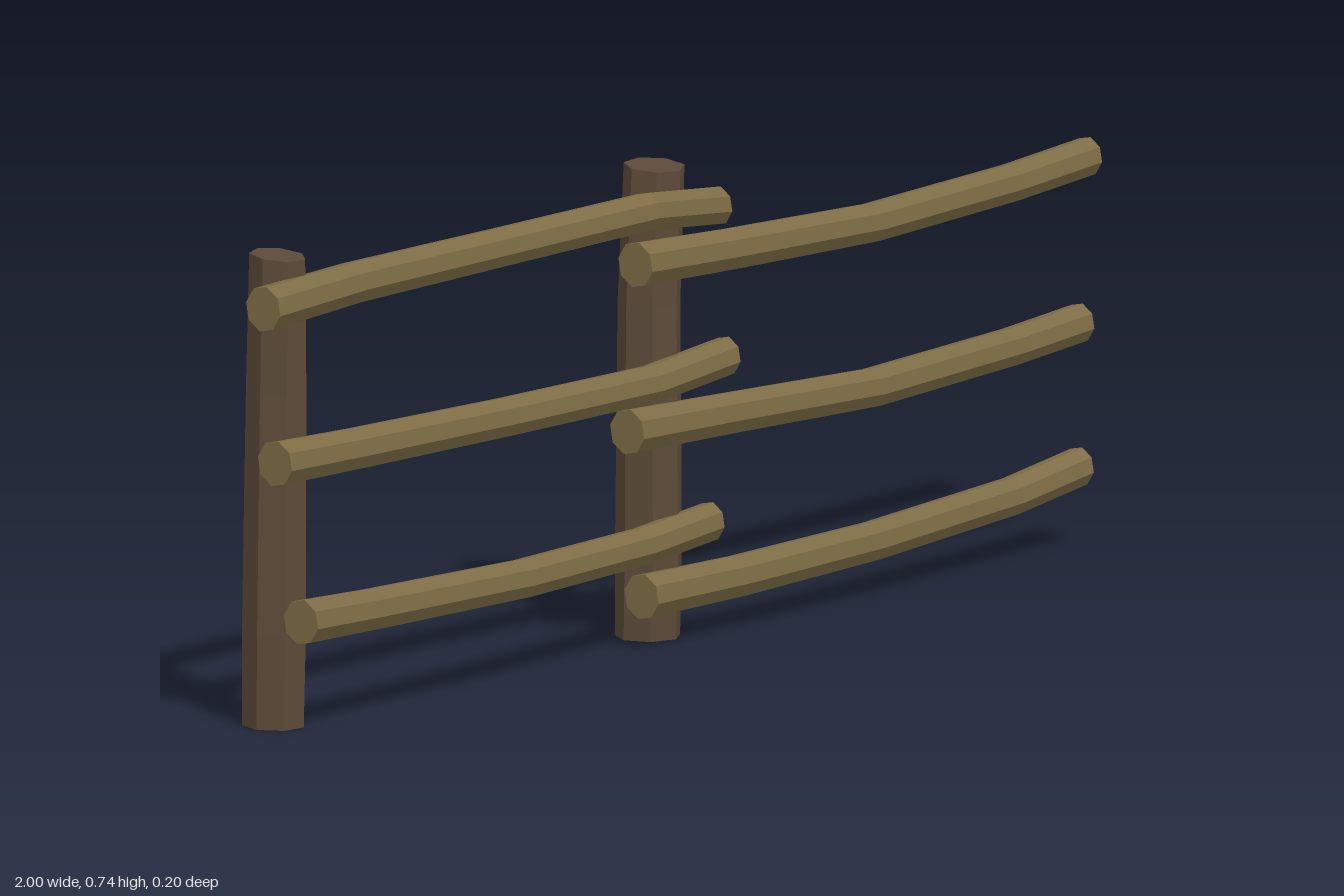
import * as THREE from 'three';

const wood = (color) => new THREE.MeshStandardMaterial({ color, flatShading: true });

// Closed log lofted through rings of { c: centre, u, v: half-axis vectors }
function loft(rings, sides, phase = 0) {
  const pos = [], index = [];
  const add = (p) => pos.push(p.x, p.y, p.z);
  for (const { c, u, v } of rings) {
    for (let i = 0; i < sides; i++) {
      const a = phase + (i / sides) * Math.PI * 2;
      add(c.clone().addScaledVector(u, Math.cos(a)).addScaledVector(v, Math.sin(a)));
    }
  }
  const last = (rings.length - 1) * sides;
  const start = rings.length * sides, end = start + 1;
  add(rings[0].c);
  add(rings[rings.length - 1].c);
  for (let i = 0; i < sides; i++) {
    const j = (i + 1) % sides;
    for (let r = 0; r < last; r += sides) {
      index.push(r + i, r + j, r + sides + i, r + j, r + sides + j, r + sides + i);
    }
    index.push(start, j, i, end, last + i, last + j);
  }
  const g = new THREE.BufferGeometry();
  g.setAttribute('position', new THREE.Float32BufferAttribute(pos, 3));
  g.setIndex(index);
  const flat = g.toNonIndexed();
  flat.computeVertexNormals();
  return flat;
}

// Rail: crooked log running along x, points are [x, y, z]
function rail(name, points, material) {
  const radii = [0.036, 0.034, 0.032, 0.031, 0.031];
  const rings = points.map(([x, y, z], i) => ({
    c: new THREE.Vector3(x, y, z),
    u: new THREE.Vector3(0, radii[i], 0),
    v: new THREE.Vector3(0, 0, radii[i] * 0.95),
  }));
  const mesh = new THREE.Mesh(loft(rings, 8, 0.2), material);
  mesh.name = name;
  return mesh;
}

// Post: slightly bent upright log, rings are [y, x, z, half width, half depth]
function post(name, sections, phase, material) {
  const rings = sections.map(([y, x, z, rx, rz], i) => ({
    c: new THREE.Vector3(x, y, z),
    u: new THREE.Vector3(0, i === sections.length - 1 ? -0.004 : 0, rz),
    v: new THREE.Vector3(rx, 0, 0),
  }));
  const mesh = new THREE.Mesh(loft(rings, 7, phase), material);
  mesh.name = name;
  return mesh;
}

export function createModel() {
  const model = new THREE.Group();
  model.name = 'fence';
  const railWood = wood(0x7d6c45);
  const postWood = wood(0x5c4a38);

  // Uprights
  model.add(
    post('endPost', [
      [0, -0.9, -0.052, 0.047, 0.05],
      [0.15, -0.9, -0.05, 0.048, 0.052],
      [0.52, -0.897, -0.048, 0.046, 0.049],
      [0.733, -0.9, -0.044, 0.041, 0.046],
    ], 0.3, postWood),
    post('middlePost', [
      [0, 0.01, -0.052, 0.052, 0.051],
      [0.15, 0.008, -0.048, 0.052, 0.053],
      [0.52, 0.01, -0.049, 0.05, 0.049],
      [0.733, 0.016, -0.044, 0.049, 0.047],
    ], 0.1, postWood),
  );

  // Rails of both bays, overlapping at the middle post
  const rails = {
    upperRailA: [[-1, 0.67, 0.008], [-0.78, 0.677, 0.004], [-0.4, 0.675, -0.004], [-0.08, 0.682, 0.016], [0.1, 0.664, 0.012]],
    middleRailA: [[-0.98, 0.427, 0.015], [-0.78, 0.42, 0.01], [-0.4, 0.41, 0], [-0.06, 0.41, 0.01], [0.12, 0.427, 0.012]],
    lowerRailA: [[-0.98, 0.187, 0.066], [-0.78, 0.175, 0.047], [-0.4, 0.162, 0.032], [-0.08, 0.16, 0.008], [0.09, 0.173, 0.005]],
    upperRailB: [[-0.1, 0.602, 0.012], [0.13, 0.592, 0.013], [0.47, 0.581, 0.014], [0.82, 0.588, 0.004], [1, 0.603, 0.011]],
    middleRailB: [[-0.12, 0.345, 0.012], [0.12, 0.337, 0.012], [0.47, 0.324, 0.014], [0.82, 0.333, 0.005], [0.98, 0.347, 0.012]],
    lowerRailB: [[-0.085, 0.083, 0.012], [0.15, 0.08, 0.012], [0.47, 0.085, 0.014], [0.82, 0.1, 0.005], [0.98, 0.123, 0.011]],
  };
  for (const [name, points] of Object.entries(rails)) model.add(rail(name, points, railWood));
  return model;
}
